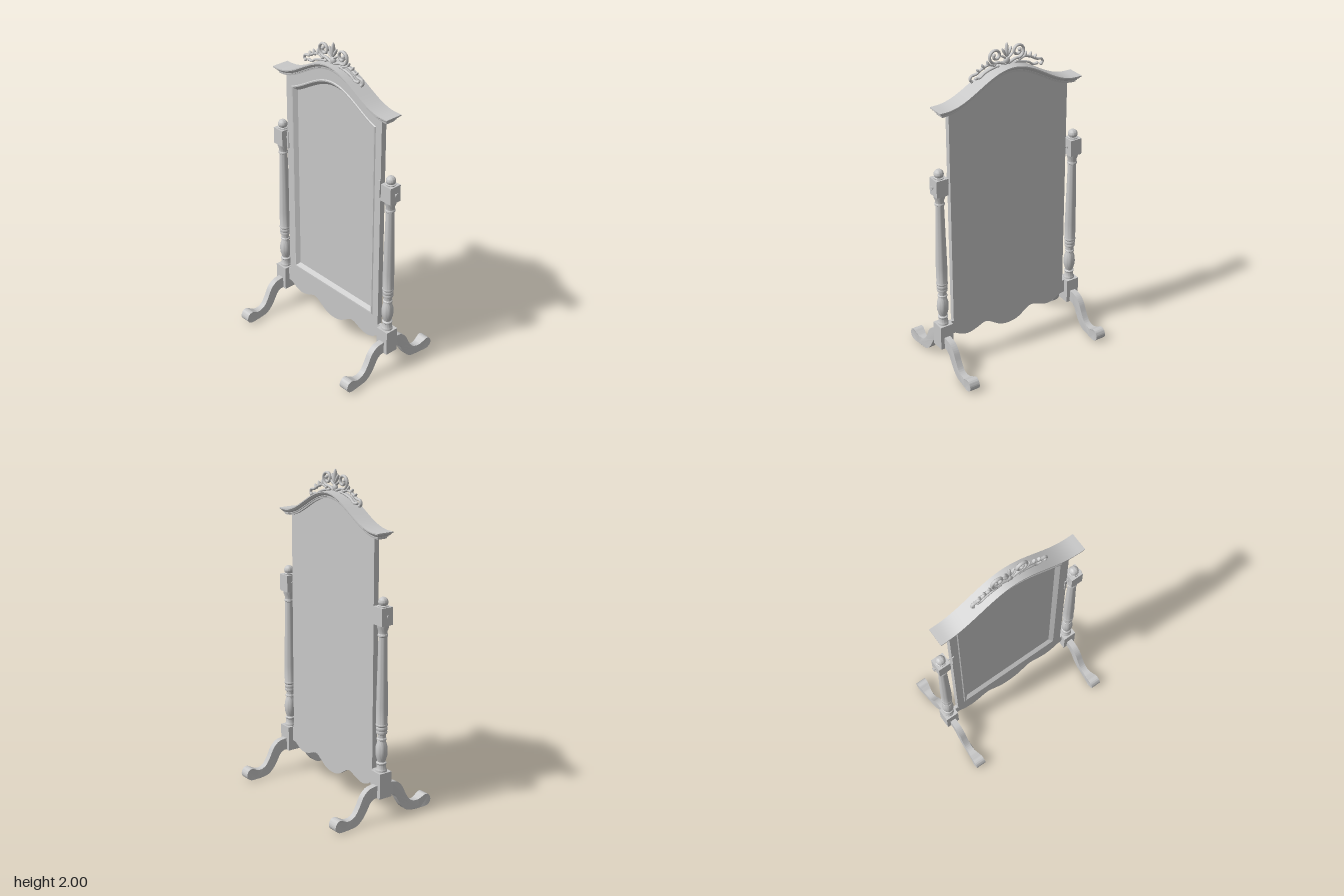
import * as THREE from 'three';
import { toCreasedNormals } from 'three/addons/utils/BufferGeometryUtils.js';

const grey = new THREE.MeshStandardMaterial({ color: 0xc8c8c8 });
grey.name = 'grey';

// height of the crown's top edge across the width
const archY = (z) => 1.71 + 0.0815 * (1 + Math.cos(Math.PI * Math.min(1, Math.abs(z) / 0.44)));

function add(parent, name, geometry, x = 0, y = 0, z = 0) {
  const mesh = new THREE.Mesh(geometry, grey);
  mesh.name = name;
  mesh.position.set(x, y, z);
  parent.add(mesh);
  return mesh;
}

// outline drawn in (z, y), extruded along x from x0 to x1
function slab(shape, x0, x1) {
  const g = new THREE.ExtrudeGeometry(shape, { depth: x1 - x0, bevelEnabled: false, curveSegments: 12 });
  g.rotateY(-Math.PI / 2).translate(x1, 0, 0);
  return toCreasedNormals(g, 0.5);
}

// skin between successive closed loops of [x, y, z]; caps join opposite points of the loop
function loft(loops, capped, crease = 0.5) {
  const n = loops[0].length, pos = loops.flat(2), idx = [];
  for (let j = 0; j < loops.length - 1; j++) {
    for (let i = 0; i < n; i++) {
      const a = j * n + i, b = j * n + (i + 1) % n;
      idx.push(a, b, a + n, b, b + n, a + n);
    }
  }
  if (capped) {
    const o = (loops.length - 1) * n;
    for (let i = 0; i < n / 2 - 1; i++) {
      const q = n - 1 - i;
      idx.push(i, q, i + 1, q, q - 1, i + 1);
      idx.push(o + i, o + i + 1, o + q, o + q, o + i + 1, o + q - 1);
    }
  }
  const g = new THREE.BufferGeometry();
  g.setAttribute('position', new THREE.Float32BufferAttribute(pos, 3));
  g.setIndex(idx);
  return toCreasedNormals(g, crease);
}

// closed outline with an arched top, as [z, y]
function arched(w, bottom, drop, steps = 40) {
  const pts = [[-w, bottom], [w, bottom]];
  for (let i = 0; i <= steps; i++) {
    const z = w - (2 * w * i) / steps;
    pts.push([z, archY(z) - drop]);
  }
  return pts;
}
const opening = (inset) => arched(0.345 - inset, 0.36 + inset, 0.12 + inset);
const toVectors = (pts) => pts.map(([a, b]) => new THREE.Vector2(a, b));

function buildMirror() {
  const mirror = new THREE.Group();
  mirror.name = 'mirror';
  const outline = arched(0.403, 0.298, 0.03);
  add(mirror, 'backPanel', slab(new THREE.Shape(toVectors(outline)), 0, 0.017));
  const frame = new THREE.Shape(toVectors(outline));
  frame.holes.push(new THREE.Path(toVectors(opening(0))));
  add(mirror, 'frame', slab(frame, -0.017, 0));
  // raised bead sloping down to the glass
  const bead = [[-0.012, -0.016], [-0.006, -0.022], [0.002, -0.021], [0.02, -0.004], [0.024, 0]];
  add(mirror, 'frameMoulding', loft(bead.map(([d, x]) => opening(d).map(([z, y]) => [x, y, z]))));

  // crown moulding: stacked outlines [half width, drop] with returned ends
  const layers = [[0.056, 0], [0.056, 0.007], [0.05, 0.01], [0.045, 0.018], [0.037, 0.024],
    [0.037, 0.029], [0.032, 0.031], [0.03, 0.04]];
  add(mirror, 'crownMoulding', loft(layers.map(([h, d]) => {
    const L = 0.422 + h, front = [], steps = 48;
    for (let i = 0; i <= steps; i++) {
      const z = -L + (2 * L * i) / steps;
      front.push([h, archY(z) - d, z]);
    }
    return front.concat(front.map(([x, y, z]) => [-x, y, z]).reverse());
  }), true, 0.4));

  // scalloped apron
  const edge = [[0.425, 0.21], [0.39, 0.205], [0.345, 0.18], [0.295, 0.17], [0.24, 0.183], [0.19, 0.203],
    [0.155, 0.203], [0.11, 0.175], [0.06, 0.146], [0, 0.136]];
  const apron = new THREE.Shape();
  apron.moveTo(-0.425, 0.298);
  apron.lineTo(-0.425, 0.21);
  apron.splineThru(toVectors([...edge.slice(1).map(([z, y]) => [-z, y]), ...edge.slice(0, -1).reverse()]));
  apron.lineTo(0.425, 0.298);
  add(mirror, 'apron', slab(apron, -0.011, 0.011));
  return mirror;
}

function buildCrest() {
  const crest = new THREE.Group();
  crest.name = 'crest';
  crest.position.x = -0.011;
  const petal = (name, z, y, angle, length, width, depth = 0.011) => {
    const m = add(crest, name, new THREE.SphereGeometry(1, 14, 10), 0, y, z);
    m.scale.set(depth, length, width);
    m.rotation.x = angle;
  };
  const tube = (name, pts, r) => {
    const curve = new THREE.CatmullRomCurve3(pts.map(([z, y]) => new THREE.Vector3(0, y, z)));
    add(crest, name, new THREE.TubeGeometry(curve, 48, r, 8)).scale.x = 1.3;
    for (const p of [pts[0], pts[pts.length - 1]]) petal(name + 'End', p[0], p[1], 0, r * 1.3, r * 1.3, r * 1.6);
  };
  // central palmette
  petal('palmetteLeaf', 0, 1.955, 0, 0.044, 0.01, 0.014);
  petal('palmetteBase', 0, 1.892, 0, 0.022, 0.02, 0.016);
  for (const s of [-1, 1]) {
    petal('palmetteLeaf', s * 0.017, 1.943, s * 0.5, 0.032, 0.008);
    petal('palmetteLeaf', s * 0.023, 1.918, s * 0.95, 0.024, 0.007);
    // large volute
    const volute = [[s * 0.012, 1.876]];
    for (let i = 0; i <= 20; i++) {
      const t = i / 20, a = -1.9 + t * 8.6, r = 0.046 - 0.034 * t;
      volute.push([s * (0.075 + r * Math.cos(a)), 1.936 + r * Math.sin(a)]);
    }
    tube('volute', volute, 0.008);
    // trailing scroll that follows the crown down
    tube('trailingScroll', [[s * 0.085, 1.882], [s * 0.125, 1.892], [s * 0.165, 1.878], [s * 0.205, 1.856],
      [s * 0.236, 1.85], [s * 0.244, 1.832], [s * 0.234, 1.82]], 0.0075);
    tube('lowerScroll', [[s * 0.06, 1.872], [s * 0.11, 1.862], [s * 0.15, 1.848], [s * 0.18, 1.828],
      [s * 0.205, 1.83]], 0.007);
    petal('scrollLeaf', s * 0.125, 1.902, s * 0.4, 0.02, 0.008);
    petal('scrollLeaf', s * 0.158, 1.89, s * 0.5, 0.02, 0.008);
    petal('scrollLeaf', s * 0.19, 1.872, s * 0.7, 0.018, 0.007);
  }
  return crest;
}

// S-curved leg outline in (x, y), widening in z at the foot
function legGeometry() {
  const s = new THREE.Shape();
  s.moveTo(0.035, 0.147);
  s.splineThru(toVectors([[0.065, 0.146], [0.092, 0.128], [0.115, 0.09], [0.145, 0.045], [0.185, 0.012],
    [0.235, 0.002], [0.285, 0.005], [0.325, 0.009], [0.348, 0.026], [0.352, 0.05], [0.338, 0.076],
    [0.313, 0.083], [0.288, 0.071], [0.262, 0.059], [0.23, 0.06], [0.2, 0.078], [0.172, 0.12],
    [0.142, 0.178], [0.105, 0.212], [0.065, 0.222], [0.035, 0.223]]));
  s.closePath();
  const g = new THREE.ExtrudeGeometry(s, { depth: 2, bevelEnabled: false, curveSegments: 70 });
  g.translate(0, 0, -1);
  const p = g.attributes.position;
  for (let i = 0; i < p.count; i++) {
    const flare = THREE.MathUtils.smoothstep(p.getX(i), 0.22, 0.325);
    p.setZ(i, p.getZ(i) * (0.019 + 0.014 * flare));
  }
  return toCreasedNormals(g, 0.5);
}

function buildStand(side, leg) {
  const stand = new THREE.Group();
  stand.name = side > 0 ? 'frontStand' : 'rearStand';
  stand.position.z = side * 0.467;
  add(stand, 'lowerBlock', new THREE.BoxGeometry(0.086, 0.157, 0.086), 0, 0.2235, 0);
  add(stand, 'upperBlock', new THREE.BoxGeometry(0.078, 0.105, 0.078), 0, 1.238, 0);
  // turned post, as [radius, height]
  const profile = [[0.033, 0.3], [0.033, 0.312], [0.029, 0.318], [0.027, 0.345], [0.031, 0.35], [0.031, 0.356],
    [0.023, 0.362], [0.027, 0.375], [0.034, 0.4], [0.036, 0.425], [0.034, 0.455], [0.027, 0.48], [0.023, 0.493],
    [0.029, 0.497], [0.029, 0.505], [0.024, 0.51], [0.024, 0.53], [0.031, 0.535], [0.033, 0.545], [0.03, 0.553],
    [0.033, 0.56], [0.033, 0.572], [0.03, 0.578], [0.035, 0.585], [0.035, 0.592], [0.033, 0.595], [0.034, 0.7],
    [0.025, 1.115], [0.03, 1.12], [0.03, 1.128], [0.026, 1.134], [0.027, 1.15], [0.034, 1.17], [0.036, 1.187]];
  add(stand, 'turnedPost', toCreasedNormals(new THREE.LatheGeometry(toVectors(profile), 28), 0.6));
  const finial = [[0.03, 1.289], [0.03, 1.296], [0.02, 1.3]];
  for (let i = 0; i <= 12; i++) {
    const a = -0.85 + (i / 12) * (0.85 + Math.PI / 2);
    finial.push([Math.max(0, 0.029 * Math.cos(a)), 1.317 + 0.029 * Math.sin(a)]);
  }
  add(stand, 'finial', toCreasedNormals(new THREE.LatheGeometry(toVectors(finial), 28), 0.6));
  add(stand, 'leg', leg);
  add(stand, 'leg', leg).rotation.y = Math.PI;

  // pivot through the post to the frame
  const rod = (name, r, length, z) => {
    add(stand, name, new THREE.CylinderGeometry(r, r, length, 16).rotateX(Math.PI / 2), 0, 1.24, side * z);
  };
  rod('pivotRod', 0.005, 0.124, -0.01);
  rod('pivotCap', 0.013, 0.005, 0.052);
  rod('pivotWasher', 0.012, 0.004, -0.045);
  add(stand, 'pivotPlate', new THREE.BoxGeometry(0.008, 0.11, 0.014), -0.019, 1.24, side * -0.071);
  return stand;
}

export function createModel() {
  const model = new THREE.Group();
  model.name = 'standingMirror';
  model.add(buildMirror(), buildCrest());
  const leg = legGeometry();
  for (const side of [1, -1]) model.add(buildStand(side, leg));
  return model;
}
